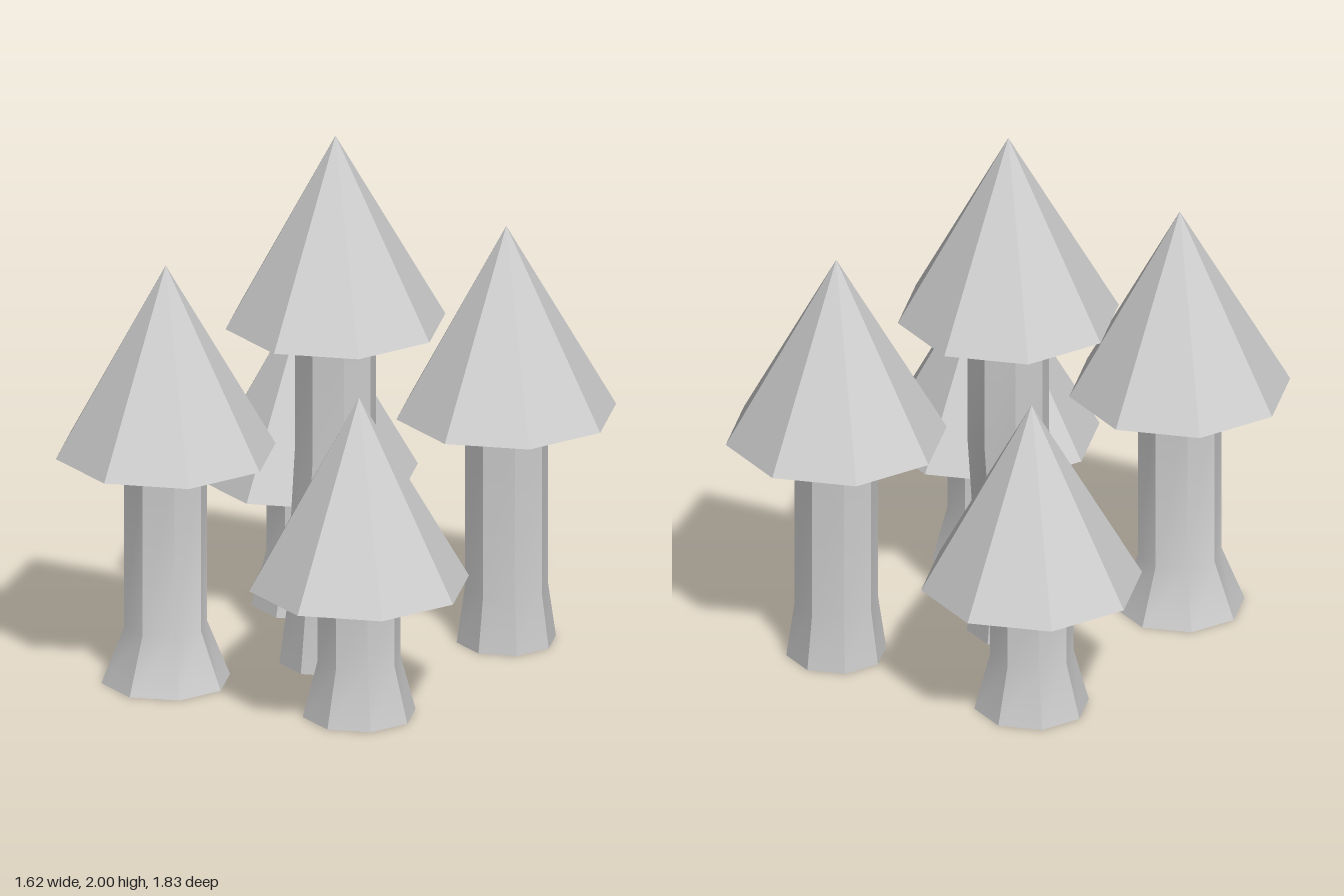
import * as THREE from 'three';
import { toCreasedNormals } from 'three/addons/utils/BufferGeometryUtils.js';

const material = new THREE.MeshStandardMaterial({ color: 0xcccccc });
const SIDES = 8, CREASE = Math.PI / 6;
const CANOPY_RADIUS = 0.405, CANOPY_HEIGHT = 0.714, TRUNK_RADIUS = 0.153;

// Capped octagonal trunk through rings of [height, radius, z offset]
function trunkGeometry(rings) {
  const n = rings.length - 1;
  const geometry = new THREE.CylinderGeometry(1, 1, n, SIDES, n);
  const p = geometry.attributes.position;
  for (let i = 0; i < p.count; i++) {
    const [y, r, dz = 0] = rings[Math.round(p.getY(i) + n / 2)];
    p.setXYZ(i, p.getX(i) * r, y, p.getZ(i) * r + dz);
  }
  return toCreasedNormals(geometry, CREASE);
}

function createTree({ name, x, z, canopyY, rings }) {
  const tree = new THREE.Group();
  tree.name = name;
  tree.position.set(x, 0, z);

  const trunk = new THREE.Mesh(trunkGeometry(rings), material);
  trunk.name = 'trunk';

  const cone = new THREE.ConeGeometry(CANOPY_RADIUS, CANOPY_HEIGHT, SIDES);
  const canopy = new THREE.Mesh(toCreasedNormals(cone, CREASE), material);
  canopy.name = 'canopy';
  canopy.position.y = canopyY + CANOPY_HEIGHT / 2;

  tree.add(trunk, canopy);
  return tree;
}

// Straight trunk with a flared foot
const flared = (footRadius, top) => [[0, footRadius], [0.21, TRUNK_RADIUS], [top, TRUNK_RADIUS]];

export function createModel() {
  const model = new THREE.Group();
  model.name = 'treeCluster';
  const trees = [
    { name: 'frontRightTree', x: -0.397, z: 0.507, canopyY: 0.874, rings: flared(0.237, 0.874) },
    { name: 'frontLeftTree', x: 0.383, z: 0.425, canopyY: 0.498, rings: flared(0.208, 0.498) },
    { name: 'backRightTree', x: -0.41, z: -0.45, canopyY: 0.498, rings: flared(0.21, 0.498) },
    { name: 'backLeftTree', x: 0.405, z: -0.511, canopyY: 0.874, rings: flared(0.183, 0.874) },
    // Tall middle tree, its trunk leaning back part way up
    {
      name: 'middleTree', x: -0.014, z: -0.026, canopyY: 1.286,
      rings: [[0, 0.18, 0.048], [0.23, 0.15, 0.048], [0.36, 0.15, 0.045], [0.8, 0.15, 0], [1.286, 0.15, 0]],
    },
  ];
  for (const tree of trees) model.add(createTree(tree));
  return model;
}
